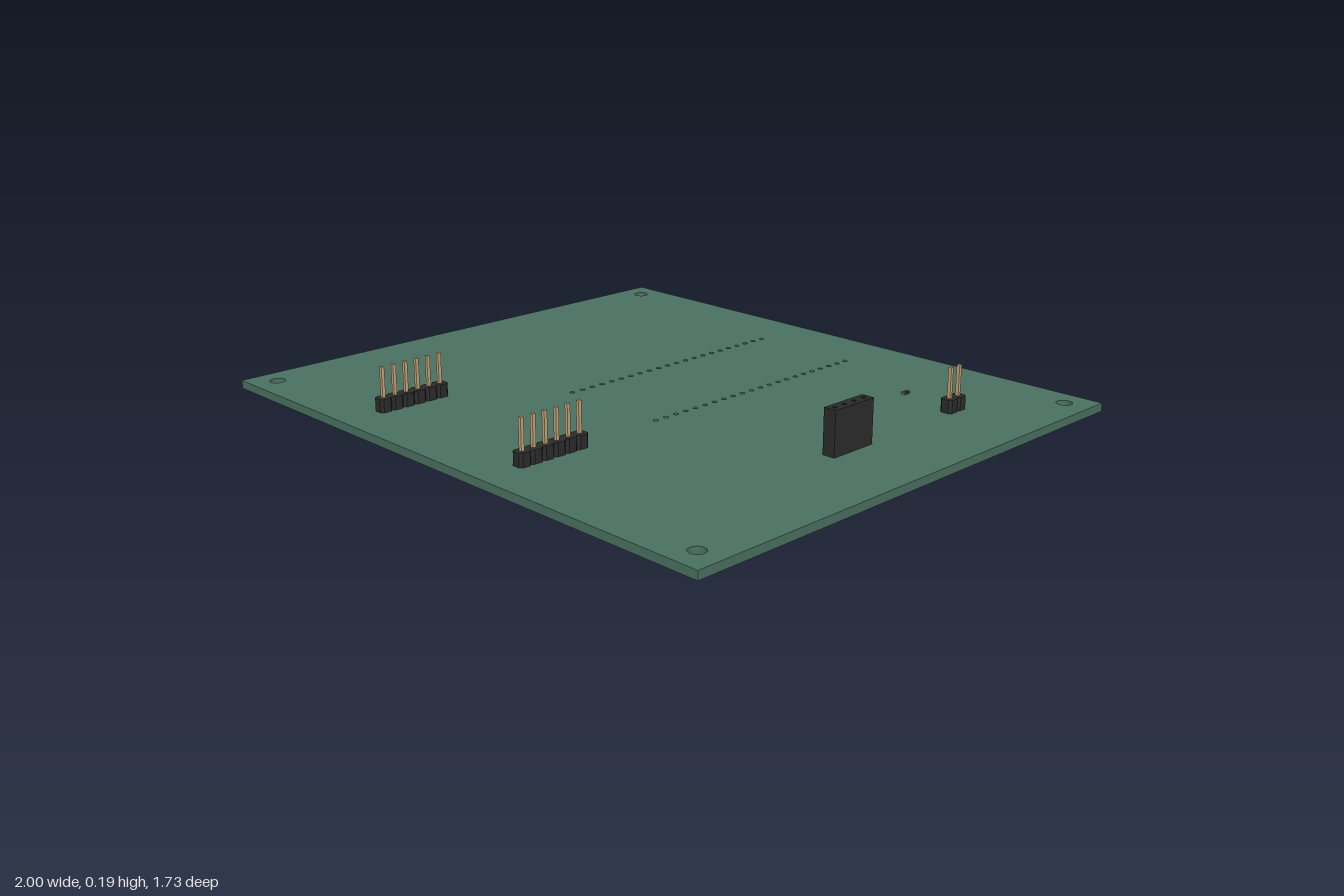
import * as THREE from 'three';

const PITCH = 0.0408, HALF = PITCH / 2, PIN = 0.0104;
const BOARD_BOTTOM = 0.025, BOARD_TOP = 0.051;

const material = (color) => new THREE.MeshStandardMaterial({ color });
const green = material(0x4a7060), black = material(0x2b2b2b);
const gold = material(0xc8a578), metal = material(0x6b5f55);

function add(parent, name, geometry, mat, x = 0, y = 0, z = 0) {
  const mesh = new THREE.Mesh(geometry, mat);
  mesh.name = name;
  mesh.position.set(x, y, z);
  parent.add(mesh);
  return mesh;
}

// Extrudes a plan outline upward; shape y becomes -z.
function extrudeUp(shape, depth) {
  return new THREE.ExtrudeGeometry(shape, { depth, bevelEnabled: false, curveSegments: 8 }).rotateX(-Math.PI / 2);
}

const polygon = (points) => points.map(([x, y]) => new THREE.Vector2(x, y));
const rectangle = (w, d, y = 0) =>
  polygon([[-w / 2, y - d / 2], [w / 2, y - d / 2], [w / 2, y + d / 2], [-w / 2, y + d / 2]]);

// Centred row of contact positions
const row = (count) => Array.from({ length: count }, (_, i) => (i - (count - 1) / 2) * PITCH);

// Body outline with a chamfered notch between contacts
function headerOutline(count) {
  const c = 0.008, side = [];
  for (const z of row(count)) {
    side.push([HALF - c, z - HALF], [HALF, z - HALF + c], [HALF, z + HALF - c], [HALF - c, z + HALF]);
  }
  const unique = side.filter((p, i) => i === 0 || Math.abs(p[1] - side[i - 1][1]) > 1e-6);
  const mirrored = unique.map(([x, z]) => [-x, z]).reverse();
  return new THREE.Shape(polygon([...unique, ...mirrored]));
}

function pinHeader(name, count) {
  const group = new THREE.Group();
  group.name = name;
  add(group, 'headerBody', extrudeUp(headerOutline(count), 0.041), black, 0, BOARD_TOP, 0);
  for (const z of row(count)) {
    add(group, 'headerPin', new THREE.BoxGeometry(PIN, 0.187, PIN), gold, 0, 0.0935, z);
  }
  return group;
}

function socketStrip(name, count) {
  const group = new THREE.Group();
  group.name = name;
  const w = PITCH, d = count * PITCH, floor = 0.03, top = 0.187;
  const shape = new THREE.Shape(rectangle(w, d));
  for (const z of row(count)) {
    shape.holes.push(new THREE.Path(rectangle(0.012, 0.012, z)));
    add(group, 'socketTail', new THREE.BoxGeometry(PIN, 0.07, 0.006), gold, 0, 0.036, z);
  }
  add(group, 'socketBase', new THREE.BoxGeometry(w, floor, d), black, 0, BOARD_TOP + floor / 2, 0);
  add(group, 'socketBody', extrudeUp(shape, top - BOARD_TOP - floor), black, 0, BOARD_TOP + floor, 0);
  return group;
}

export function createModel() {
  const model = new THREE.Group();
  model.name = 'circuitBoard';

  const parts = [
    { build: pinHeader, name: 'leftPinHeader', count: 6, x: 0.198, z: 0.614 },
    { build: pinHeader, name: 'rightPinHeader', count: 6, x: -0.441, z: 0.614 },
    { build: pinHeader, name: 'powerHeader', count: 2, x: 0.726, z: -0.49 },
    { build: socketStrip, name: 'socketStrip', count: 4, x: 0.726, z: -0.002 },
  ];

  // Board with mounting holes, two drilled rows and holes for the connectors
  const board = new THREE.Shape(rectangle(2, 1.726));
  const drill = (x, z, r) => board.holes.push(new THREE.Path().absarc(x, -z, r, 0, Math.PI * 2, true));
  for (const x of [-0.92, 0.92]) for (const z of [-0.784, 0.784]) drill(x, z, 0.0245);
  for (const x of [-0.185, 0.182]) for (const z of row(22)) drill(x, z - 0.225, 0.008);
  for (const p of parts) for (const z of row(p.count)) drill(p.x, p.z + z, 0.008);
  add(model, 'board', extrudeUp(board, BOARD_TOP - BOARD_BOTTOM), green, 0, BOARD_BOTTOM, 0);

  // Connectors
  for (const p of parts) {
    const part = p.build(p.name, p.count);
    part.position.set(p.x, 0, p.z);
    model.add(part);
  }

  // Surface-mounted chip resistor
  const chip = new THREE.Group();
  chip.name = 'chipResistor';
  chip.position.set(0.533, BOARD_TOP, -0.515);
  add(chip, 'chipBody', new THREE.BoxGeometry(0.0135, 0.007, 0.018), black, 0, 0.0035, 0);
  for (const s of [-1, 1]) {
    add(chip, 'chipTerminal', new THREE.BoxGeometry(0.0145, 0.0075, 0.005), metal, 0, 0.00375, s * 0.0105);
  }
  model.add(chip);
  return model;
}
